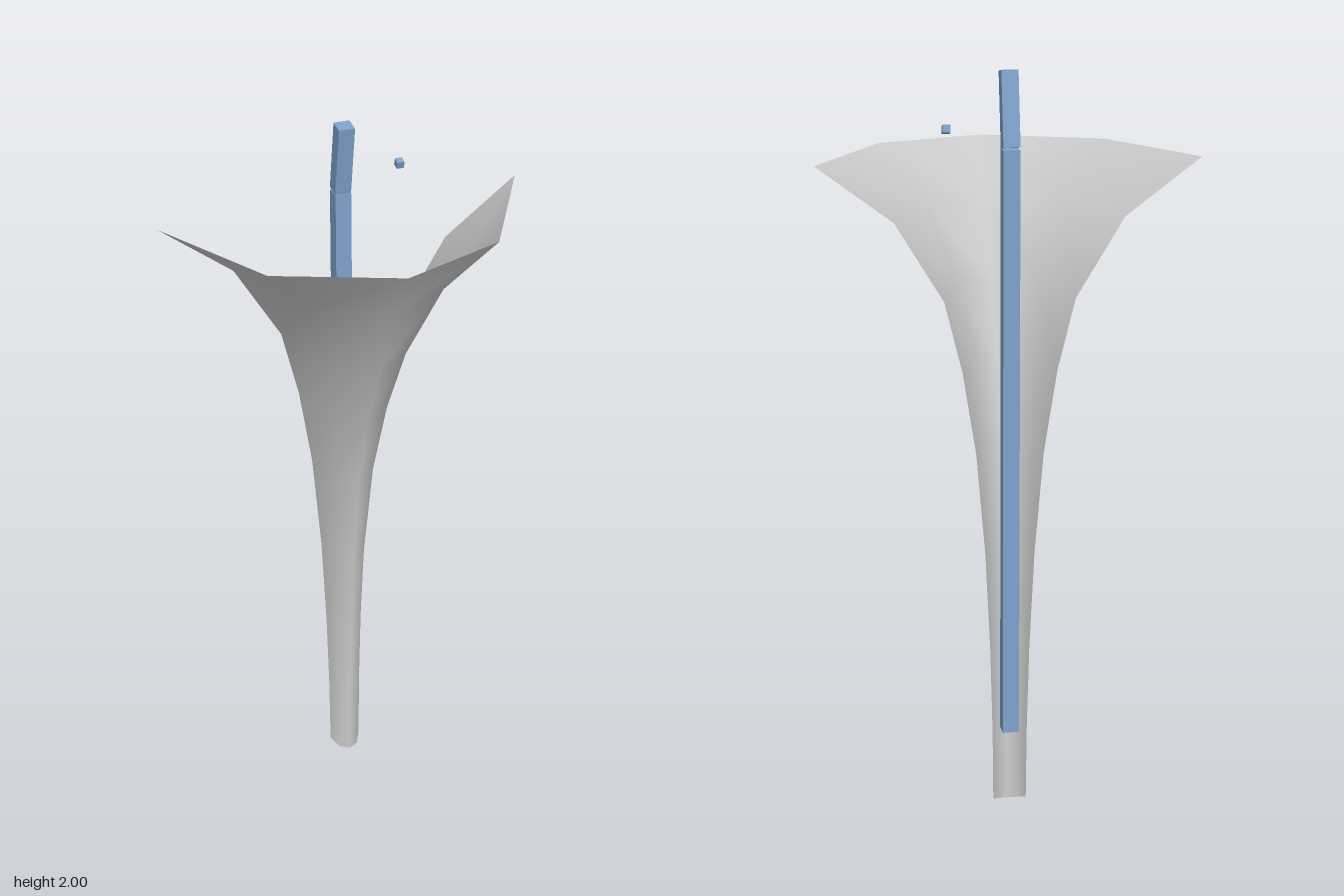
import * as THREE from 'three';

export function createModel() {
  const model = new THREE.Group();
  const grey = new THREE.MeshStandardMaterial({ color: 0xcccccc, side: THREE.DoubleSide });
  grey.name = 'light grey';
  const blue = new THREE.MeshStandardMaterial({ color: 0x7ea2cc });
  blue.name = 'steel blue';

  // Flared half funnel, open at the back: [height, half width, front z]
  const rings = [
    [0.02, 0.045, -0.19], [0.22, 0.047, -0.183], [0.45, 0.053, -0.17],
    [0.72, 0.066, -0.145], [1.0, 0.09, -0.10], [1.22, 0.125, -0.03],
    [1.41, 0.172, 0.055], [1.62, 0.30, 0.15], [1.77, 0.5, 0.255],
  ];
  // Cross-section from right edge round the front: [share of width, share of depth]
  const section = [[-1, 0], [-0.64, 0.725], [0, 1], [0.585, 0.765], [1, 0]];
  const back = -0.235;
  const positions = [], index = [], n = section.length;
  rings.forEach(([y, w, front], r) => {
    section.forEach(([sx, sz], c) => {
      // the lowest ring dips towards the front
      const dip = r === 0 ? 0.02 * sz : 0;
      positions.push(sx * w, y - dip, back + (front - back) * sz);
      if (r > 0 && c > 0) {
        const d = r * n + c, a = d - n - 1;
        index.push(a, a + 1, d, a, d, d - 1);
      }
    });
  });
  const shell = new THREE.BufferGeometry();
  shell.setAttribute('position', new THREE.Float32BufferAttribute(positions, 3));
  shell.setIndex(index);
  shell.computeVertexNormals();
  const funnel = new THREE.Mesh(shell, grey);
  funnel.name = 'funnelShell';
  model.add(funnel);

  // Blue bars behind the funnel
  const addBar = (name, size, position, tilt = 0) => {
    const bar = new THREE.Mesh(new THREE.BoxGeometry(...size), blue);
    bar.name = name;
    bar.position.set(...position);
    bar.rotation.x = tilt;
    model.add(bar);
  };
  addBar('backPost', [0.044, 1.58, 0.044], [0, 1.01, -0.233]);
  addBar('tiltedTopPost', [0.044, 0.195, 0.042], [0, 1.9, -0.218], 0.17);
  addBar('smallCube', [0.02, 0.02, 0.02], [0.165, 1.855, -0.234], 0.3);

  return model;
}
